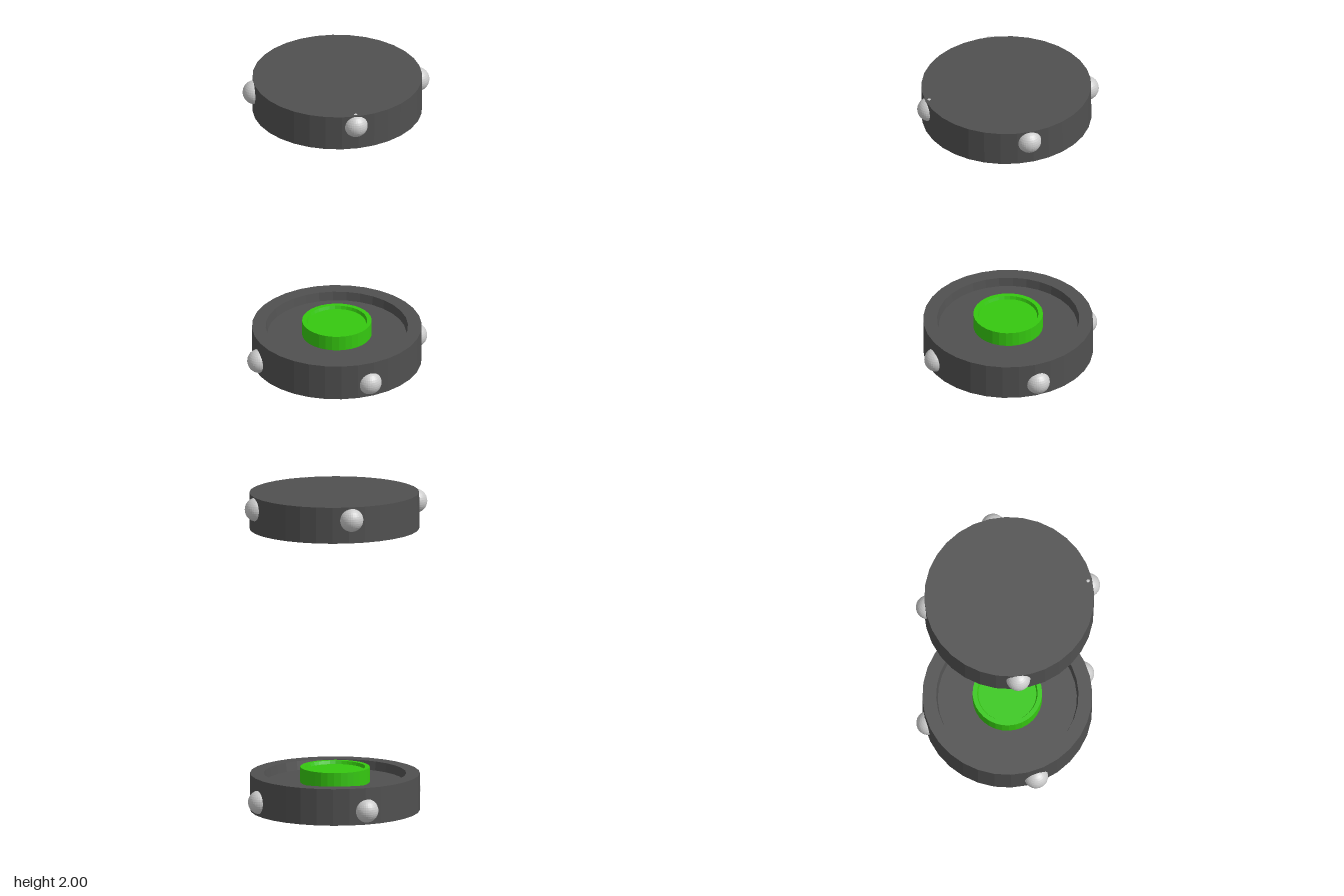
import * as THREE from 'three';

const dark = new THREE.MeshStandardMaterial({ color: 0x505050, flatShading: true });
const green = new THREE.MeshStandardMaterial({ color: 0x35c810, flatShading: true });
const grey = new THREE.MeshStandardMaterial({ color: 0xcccccc, flatShading: true });

// Round dish: solid disc with a shallow recess in its upper face
function dish(name, radius, height, rim, floor, depth, material) {
  const profile = [
    [0, 0], [radius, 0], [radius, height],
    [rim, height], [floor, height - depth], [0, height - depth],
  ].map(([x, y]) => new THREE.Vector2(x, y));
  const mesh = new THREE.Mesh(new THREE.LatheGeometry(profile, 32), material);
  mesh.name = name;
  return mesh;
}

// Ball studs half sunk into the side of a disc
function studs(name, y, centres) {
  const group = new THREE.Group();
  group.name = name;
  const geometry = new THREE.SphereGeometry(0.075, 32, 16);
  for (const [x, z] of centres) {
    const stud = new THREE.Mesh(geometry, grey);
    stud.name = 'stud';
    stud.position.set(x, y, z);
    group.add(stud);
  }
  return group;
}

export function createModel() {
  const model = new THREE.Group();
  model.name = 'discPair';

  // Lower disc, recess facing up
  const lower = dish('lowerDisc', 0.525, 0.23, 0.44, 0.43, 0.055, dark);
  lower.position.z = -0.005;

  // Green button standing in the lower recess
  const button = dish('button', 0.215, 0.1, 0.187, 0.18, 0.02, green);
  button.position.set(0, 0.17, -0.005);

  // Upper disc, turned over and very slightly tilted
  const upper = dish('upperDisc', 0.525, 0.226, 0.44, 0.43, 0.05, dark);
  upper.rotation.x = Math.PI + 0.008;
  upper.position.set(0, 1.996, 0.007);

  model.add(
    lower, button, upper,
    studs('lowerStuds', 0.085, [[0.08, 0.49], [0.505, -0.028], [-0.012, -0.51], [-0.51, 0.053]]),
    studs('upperStuds', 1.918, [[-0.012, 0.505], [0.505, 0.028], [0.08, -0.49], [-0.51, -0.06]]),
  );
  return model;
}
